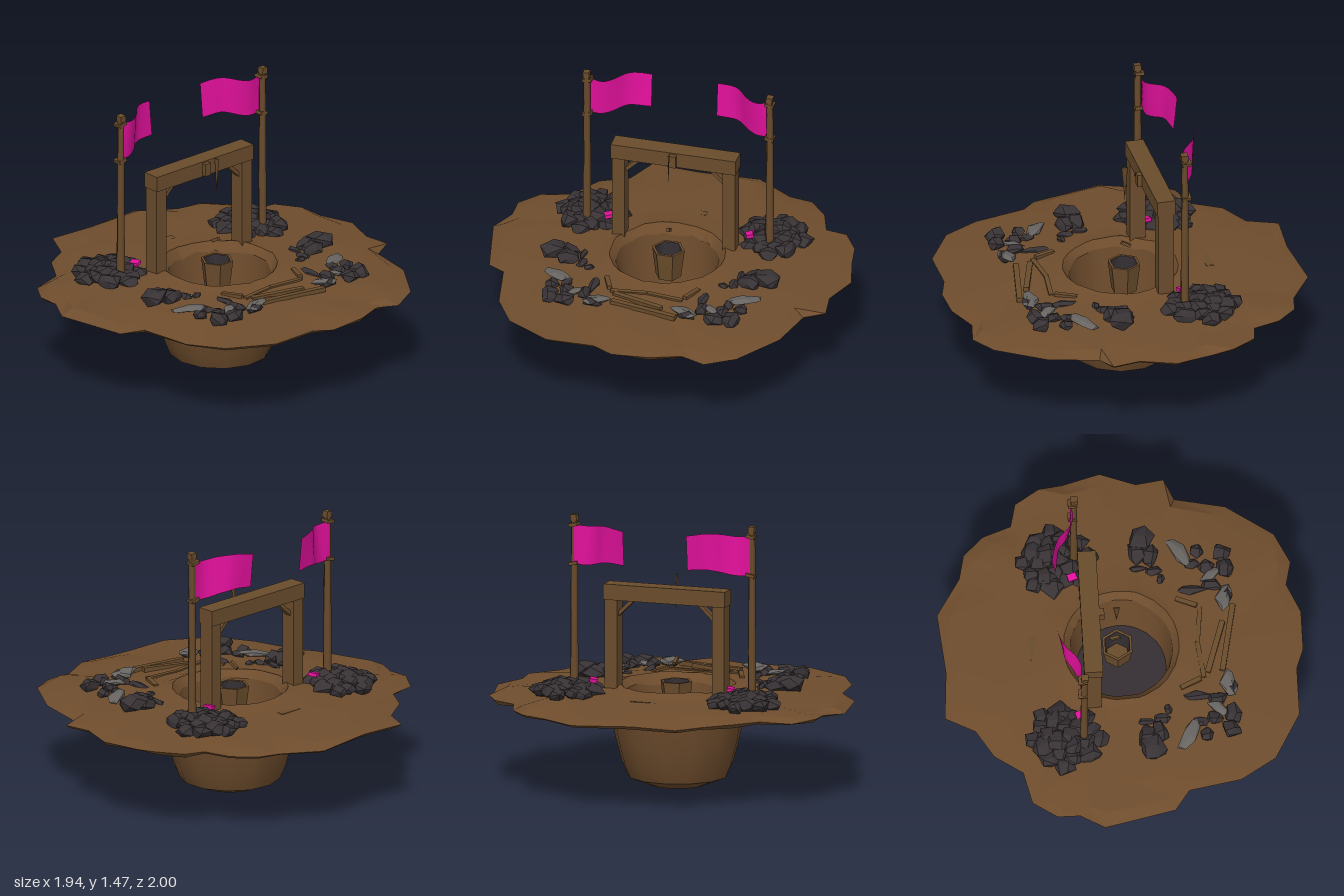
import * as THREE from 'three';
import { toCreasedNormals } from 'three/addons/utils/BufferGeometryUtils.js';
import { ConvexGeometry } from 'three/addons/geometries/ConvexGeometry.js';

const mat = (name, color, side = THREE.FrontSide) => {
  const m = new THREE.MeshStandardMaterial({ color, side });
  m.name = name;
  return m;
};

// Ragged shoreline of the ground, x and z pairs
const OUTLINE = [
  -.06, -1, .13, -.93, .28, -.95, .33, -.84, .6, -.78, .85, -.61, .93, -.45, .9, -.32, .97, -.16,
  .97, .05, .93, .16, .93, .42, .79, .66, .6, .77, .32, .82, .24, .92, -.14, 1, -.27, .93, -.39, .93,
  -.52, .84, -.56, .67, -.71, .57, -.8, .42, -.96, .34, -.94, .08, -.97, -.25, -.84, -.45, -.81, -.58,
  -.7, -.68, -.55, -.73, -.52, -.85, -.39, -.93, -.26, -.95];

function seeded(seed) {
  let s = seed;
  return () => ((s = (s * 16807) % 2147483647) / 2147483647);
}

// Ground skin: rings blending from a circle (mix 0) to the shoreline (mix 1)
function groundGeometry() {
  const rnd = seeded(77), pos = [], idx = [];
  const rings = [ // radius, mix, height, height jitter
    [.3, 0, .465, 0], [.3, .97, .468, .004], [.3, 1, .48, .012], [.3, .9, .5, .012], [.3, .6, .515, .008],
    [.36, .2, .532, .004], [.35, 0, .54, .003], [.31, 0, .55, .006], [.275, 0, .5, .012],
    [.26, 0, .35, 0], [.24, 0, .19, 0]];
  const n = OUTLINE.length / 2;
  for (const [r, mix, y, jitter] of rings)
    for (let i = n - 1; i >= 0; i--) {
      const x = OUTLINE[2 * i], z = OUTLINE[2 * i + 1], k = r / Math.hypot(x, z);
      const f = k + (1 - k) * mix;
      pos.push(x * f, y + (rnd() - .5) * 2 * jitter, z * f);
    }
  for (let j = 0; j < rings.length - 1; j++)
    for (let i = 0; i < n; i++) {
      const a = j * n + i, b = j * n + (i + 1) % n;
      idx.push(a, b, a + n, b + n, a + n, b);
    }
  const g = new THREE.BufferGeometry();
  g.setAttribute('position', new THREE.Float32BufferAttribute(pos, 3));
  g.setIndex(idx);
  return toCreasedNormals(g, .35);
}

// Angular stone: hull of scattered points on an ellipsoid, mirrored by side
function rockGeometry(rnd, rx, ry, rz, side) {
  const pts = [];
  for (let i = 0; i < 13; i++) {
    const u = 1 - 2 * (i + .5) / 13, a = i * 2.4 + rnd() * .9, w = Math.sqrt(1 - u * u), k = .85 + rnd() * .3;
    pts.push(new THREE.Vector3(w * Math.cos(a) * rx * k, u * ry * k, w * Math.sin(a) * rz * k * side));
  }
  return new ConvexGeometry(pts);
}

// Rippled banner hanging along a curve
function flagGeometry(side) {
  const curve = new THREE.CatmullRomCurve3([[-.245, .5], [-.24, .43], [-.265, .37], [-.315, .31], [-.335, .25], [-.35, .18]]
    .map(([x, z]) => new THREE.Vector3(x, 0, z * side)));
  const g = new THREE.PlaneGeometry(1, 1, 14, 2), p = g.attributes.position;
  for (let i = 0; i < p.count; i++) {
    const t = p.getX(i) + .5, v = p.getY(i) + .5, c = curve.getPoint(t);
    const sag = .012 * Math.sin(t * 7);
    p.setXYZ(i, c.x + (v - .5) * .02 * Math.sin(t * 5), 1.21 + .03 * t + v * (.215 - .025 * t) - sag * (1 - t * .3), c.z);
  }
  g.computeVertexNormals();
  return g;
}

export function createModel() {
  const model = new THREE.Group();
  model.name = 'mineShaftIsland';
  const earth = mat('earth', 0x6f4d2d), wood = mat('wood', 0x6a4c2c);
  const coal = mat('coal', 0x383235), coalInside = mat('dark lining', 0x352f33, THREE.DoubleSide);
  const slate = mat('slate', 0x676461), cloth = mat('cloth', 0xe0109a, THREE.DoubleSide);

  const add = (name, geo, material, x = 0, y = 0, z = 0, rx = 0, ry = 0, rz = 0) => {
    const m = new THREE.Mesh(geo, material);
    m.name = name;
    m.position.set(x, y, z);
    m.rotation.set(rx, ry, rz);
    model.add(m);
    return m;
  };
  const box = (name, material, w, h, d, ...place) => add(name, new THREE.BoxGeometry(w, h, d), material, ...place);
  const lathe = (pts, n) => toCreasedNormals(
    new THREE.LatheGeometry(pts.map(([x, y]) => new THREE.Vector2(x, y)), n), .6);

  // Ground, shaft shell below it and the dark shaft floor
  add('ground', groundGeometry(), earth);
  add('shaftShell', lathe([[0, 0], [.15, .002], [.27, .05], [.3, .12], [.335, .25], [.365, .4], [.375, .475]], 13), earth);
  add('shaftFloor', new THREE.CircleGeometry(.25, 16), coalInside, 0, .2, 0, -Math.PI / 2);

  // Open six-sided bucket with a dark lining
  add('bucket', lathe([[0, .4], [.07, .4], [.09, .565], [.075, .565]], 6), wood, -.02);
  add('bucketLining', new THREE.CylinderGeometry(.075, .062, .15, 6, 1, true), coalInside, -.02, .489);
  add('bucketBase', new THREE.CircleGeometry(.064, 6), wood, -.02, .42, 0, -Math.PI / 2, 0, Math.PI / 6);

  // Loose hook and chip over the shaft
  add('hook', new THREE.ConeGeometry(.018, .2, 4), wood, -.024, 1.045, 0, Math.PI).scale.z = .25;
  box('chip', wood, .055, .018, .016, -.03, .675, 0, 0, 0, .5);

  // Hoist frame
  box('crossbeam', wood, .1, .085, .69, -.165, 1.06, 0);
  box('beamPeg', wood, .03, .07, .04, -.105, 1.06, 0);
  box('lowPlank', wood, .04, .02, .14, -.47, .522, -.02);
  for (const s of [1, -1]) {
    box('framePost', wood, .085, .56, .07, -.165, .76, .305 * s);
    box('frameBrace', wood, .035, .14, .02, -.165, .975, .235 * s, -.8 * s);

    // Flag pole, ties and banner
    add('flagPole', new THREE.CylinderGeometry(.018, .024, .96, 6), wood, -.225, .99, .505 * s);
    box('poleCap', wood, .038, .035, .034, -.222, 1.455, .505 * s, .1 * s);
    for (const y of [1.21, 1.42]) box('flagTie', wood, .05, .018, .05, -.232, y, .503 * s, .2 * s);
    add('flag', flagGeometry(s), cloth);
    box('clothScrap', cloth, .05, .02, .04, -.24, .583, .39 * s, .2, .3);

    // Large heap of coal at the pole foot
    const rnd = seeded(4242);
    const rock = (name, material, x, y, z, rx, ry, rz) => add(name, rockGeometry(rnd, rx, ry, rz, s), material, x, y, z * s);
    for (let i = 0; i < 22; i++) {
      const q = Math.sqrt((i + .5) / 22), a = i * 2.4, r = .05 + .022 * rnd();
      rock('coalHeap', coal, -.33 + .185 * q * Math.cos(a), .578 - .045 * q, .5 + .165 * q * Math.sin(a), r, r * .65, r);
    }
    // Smaller lumps: x, y, z, half sizes
    for (const [x, y, z, a, b, c] of [
      [.14, .56, .59, .07, .05, .08], [.12, .55, .52, .06, .045, .07], [.18, .55, .5, .05, .04, .07],
      [.11, .535, .435, .05, .02, .02], [.2, .535, .42, .05, .018, .03], [.23, .535, .37, .025, .02, .03],
      [.56, .54, .5, .06, .04, .05], [.58, .54, .41, .05, .035, .06], [.48, .53, .43, .05, .03, .04],
      [.5, .54, .32, .06, .03, .035], [.39, .53, .3, .09, .02, .03], [.57, .54, .26, .04, .03, .06],
      [.43, .53, .52, .04, .025, .05], [.4, .53, .45, .05, .02, .03]])
      rock('coalLump', coal, x, y, z, a, b, c);

    // Pale slate slabs
    const slab = (x, y, z, a, b, c, yaw) => {
      rock('slateSlab', slate, x, y, z, a, b, c).rotation.set(.12 * s, yaw * s, .1);
    };
    slab(.34, .535, .51, .045, .015, .1, -.6);
    slab(.56, .55, .24, .05, .022, .08, .4);
    slab(.5, .54, .38, .03, .015, .07, .9);

    // Scattered timber splinters
    box('splinter', wood, .025, .02, .2, .42, .533, .1 * s, 0, .12 * s);
    box('splinter', wood, .12, .02, .025, .36, .54, .23 * s, 0, .4 * s, .05);
  }

  // Long planks fallen beside the shaft
  box('fallenPlank', wood, .03, .025, .38, .57, .533, -.02, 0, -.2);
  box('fallenPlank', wood, .03, .025, .3, .5, .535, .03, .03, -.32);
  return model;
}
